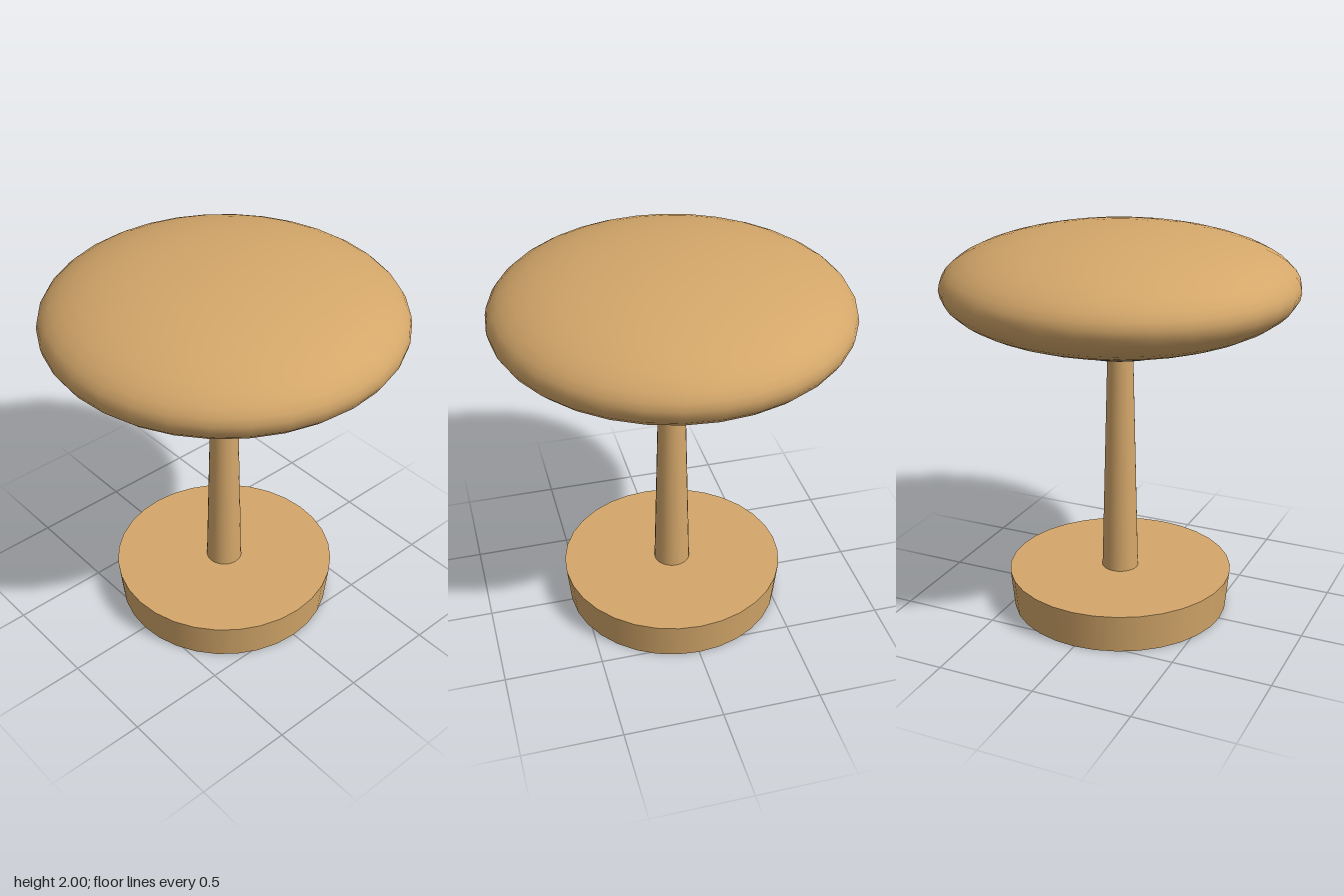
import * as THREE from 'three';

export function createModel() {
  const lamp = new THREE.Group();
  lamp.name = 'tableLamp';

  const wood = new THREE.MeshStandardMaterial({ color: 0xd4a76a });
  wood.name = 'warm wood';
  const glass = new THREE.MeshStandardMaterial({ color: 0xf0e0cc });
  glass.name = 'frosted cream';

  const add = (name, geometry, material, y) => {
    const mesh = new THREE.Mesh(geometry, material);
    mesh.name = name;
    mesh.position.y = y;
    lamp.add(mesh);
    return mesh;
  };

  // Slightly flared round foot
  add('base', new THREE.CylinderGeometry(0.58, 0.56, 0.2, 32), wood, 0.1);

  // Tapered stem, its top tucked into the diffuser
  add('stem', new THREE.CylinderGeometry(0.064, 0.094, 1.2, 24), wood, 0.8);

  // Flattened round shade
  const shade = new THREE.SphereGeometry(0.88, 32, 24);
  shade.scale(1, 0.285 / 0.88, 1);
  add('shade', shade, wood, 1.715);

  // Shallow diffuser bowl under the shade, its rim buried in the shade
  const radius = 0.93;
  const spread = Math.asin(0.46 / radius);
  const bowl = new THREE.SphereGeometry(radius, 32, 10, 0, Math.PI * 2, Math.PI - spread, spread);
  add('diffuser', bowl, glass, 1.36 + radius);

  return lamp;
}
